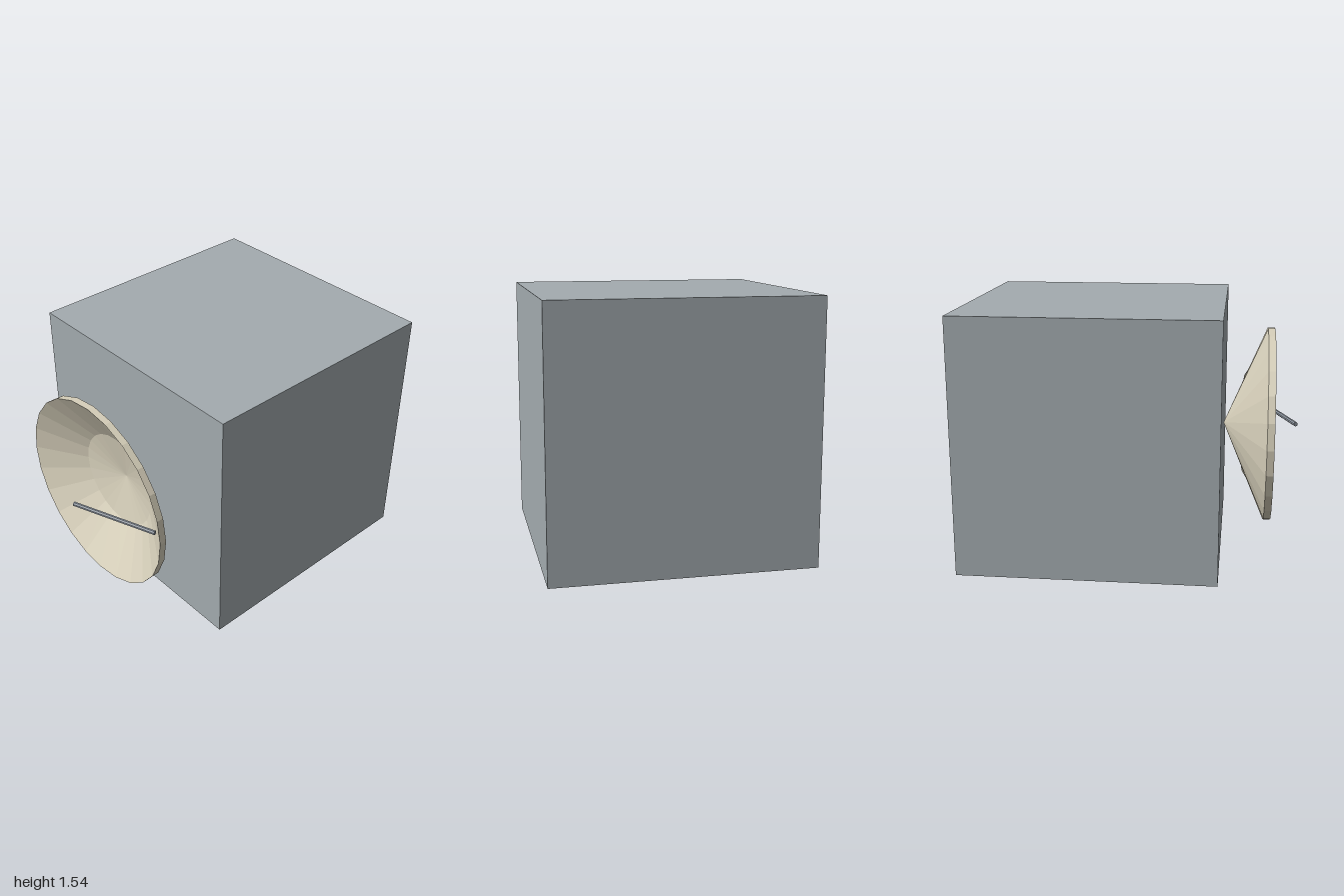
import * as THREE from 'three';

const SIZE = 1.538;      // edge of the cube body
const MID = SIZE / 2;    // height of the dish axis
const FRONT = SIZE - 1;  // z of the front face

export function createModel() {
  const bodyGrey = new THREE.MeshStandardMaterial({ color: 0xa3abaf });
  bodyGrey.name = 'bodyGrey';
  const dishBeige = new THREE.MeshStandardMaterial({ color: 0xd6cfba });
  dishBeige.name = 'dishBeige';
  const rodGrey = new THREE.MeshStandardMaterial({ color: 0x8a929c });
  rodGrey.name = 'rodGrey';

  const group = new THREE.Group();
  const add = (name, geometry, material) => {
    const mesh = new THREE.Mesh(geometry, material);
    mesh.name = name;
    group.add(mesh);
    return mesh;
  };

  // Flat facets: split the shared vertices and give each face its own normal
  const faceted = (geometry) => {
    const flat = geometry.toNonIndexed();
    flat.computeVertexNormals();
    return flat;
  };

  // Cube body
  add('body', new THREE.BoxGeometry(SIZE, SIZE, SIZE), bodyGrey)
    .position.set(0, MID, FRONT - MID);

  // Dish: conical back, short rim, two-step parabolic bowl
  const profile = [
    [0, FRONT], [0.6, 0.797], [0.6, 0.84], [0.3, 0.66], [0, 0.6],
  ].map(([r, z]) => new THREE.Vector2(r, z));
  const dish = new THREE.LatheGeometry(profile, 24).rotateX(Math.PI / 2);
  add('dish', faceted(dish), dishBeige).position.y = MID;

  // Feed rod from the bowl's left side to the focus
  const root = new THREE.Vector3(0.505, MID, 0.798);
  const tip = new THREE.Vector3(0, MID, 0.987);
  const along = tip.clone().sub(root);
  const rod = add('feedRod',
    faceted(new THREE.CylinderGeometry(0.014, 0.014, along.length(), 8)), rodGrey);
  rod.position.copy(root).add(tip).multiplyScalar(0.5);
  rod.quaternion.setFromUnitVectors(new THREE.Vector3(0, 1, 0), along.normalize());

  return group;
}
